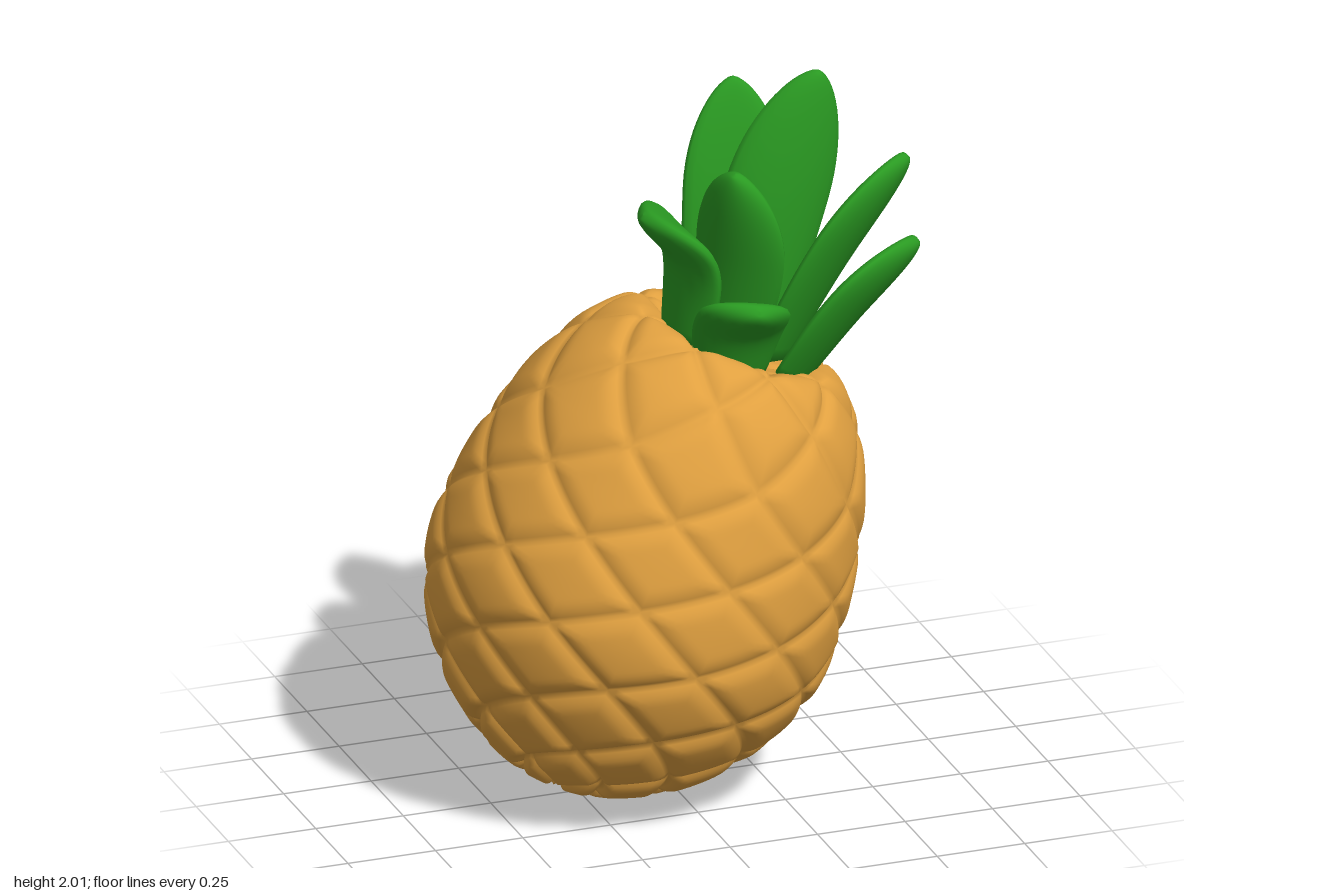
import * as THREE from 'three';

const fruitMat = new THREE.MeshStandardMaterial({ color: 0xe0a040 });
const leafMat = new THREE.MeshStandardMaterial({ color: 0x2a9a22 });

// Closed-ring grid: `cols` around, `rows` + 1 rings; diagonals chosen by flip(i, j)
function ringGeometry(cols, rows, pointAt, flip = () => false) {
  const pos = [], idx = [];
  for (let j = 0; j <= rows; j++)
    for (let i = 0; i < cols; i++) pos.push(...pointAt(i, j));
  for (let j = 0; j < rows; j++)
    for (let i = 0; i < cols; i++) {
      const n = (i + 1) % cols;
      const a = j * cols + i, b = j * cols + n, c = a + cols, d = b + cols;
      if (flip(i, j)) idx.push(a, b, d, a, d, c);
      else idx.push(a, b, c, b, d, c);
    }
  const g = new THREE.BufferGeometry();
  g.setAttribute('position', new THREE.Float32BufferAttribute(pos, 3));
  g.setIndex(idx);
  g.computeVertexNormals();
  return g;
}

// Fruit: profile of radius and height, one point per half row of diamonds
function makeFruit() {
  const profile = new THREE.CatmullRomCurve3([
    [0, 0.56], [0.14, 0.59], [0.28, 0.63], [0.395, 0.53], [0.485, 0.36],
    [0.527, 0.22], [0.555, 0.09], [0.57, -0.04], [0.567, -0.17], [0.535, -0.29],
    [0.475, -0.41], [0.385, -0.525], [0.275, -0.615], [0.14, -0.68], [0, -0.695],
  ].map(([r, y]) => new THREE.Vector3(r, y, 0)));
  const starts = 8, sub = 18, tiers = 7; // spiral seams each way, grid steps per diamond
  const seam = (v) => Math.abs(v - Math.round(v));
  const pointAt = (i, j) => {
    const u = i / sub, t = j / sub;
    const p = profile.getPoint(j / (tiers * sub));
    // V-shaped groove along both families of spirals, deeper towards the bottom
    const d = Math.min(seam(u + t), seam(u - t));
    const depth = 0.028 + 0.025 * THREE.MathUtils.smoothstep(t, 4, 6.5);
    const k = 1 - depth * Math.pow(Math.max(0, 1 - d / 0.26), 2);
    const ang = (u / starts) * Math.PI * 2;
    return [p.x * k * Math.cos(ang), p.y * k, p.x * k * Math.sin(ang)];
  };
  // diagonals follow whichever seam is nearer
  const flip = (i, j) => seam((i - j) / sub) < seam((i + j + 1) / sub);
  const mesh = new THREE.Mesh(ringGeometry(starts * sub, tiers * sub, pointAt, flip), fruitMat);
  mesh.name = 'fruit';
  mesh.rotation.z = THREE.MathUtils.degToRad(-23);
  mesh.position.set(-0.05, 0.67, 0);
  return mesh;
}

// Leaf: thick cupped blade along a curve, with a given width direction
function makeLeaf({ name, base, mid, tip, side, width, thick = 0.042 }) {
  const [b, m, t, w] = [base, mid, tip, side].map((p) => new THREE.Vector3(...p));
  const path = new THREE.CatmullRomCurve3([b, m, t]);
  // turn the cupped face towards the crown's axis
  const out = m.clone().sub(new THREE.Vector3(0.2 + 0.42 * (m.y - 1.24), m.y, 0));
  if (t.clone().sub(b).cross(w).dot(out) > 0) w.negate();
  const cols = 20, rows = 28;
  const g = ringGeometry(cols, rows, (i, j) => {
    const s = 1 - Math.pow(1 - j / rows, 1.5); // rings gather near the tip
    const p = path.getPoint(s), T = path.getTangent(s);
    const W = w.clone().addScaledVector(T, -w.dot(T)).normalize();
    const N = T.clone().cross(W);
    const round = s < 0.55 ? 1 : Math.pow(Math.max(0, 1 - Math.pow((s - 0.55) / 0.45, 2)), 0.65);
    const f = j === 0 ? 0 : (0.7 + 0.3 * Math.sin(Math.min(s / 0.55, 1) * Math.PI / 2)) * round;
    const a = (i / cols) * Math.PI * 2, c = Math.cos(a), sn = Math.sin(a);
    const depth = sn * thick * Math.sqrt(f) + c * c * width * f * 0.18;
    return p.addScaledVector(W, c * width * f).addScaledVector(N, depth).toArray();
  });
  const mesh = new THREE.Mesh(g, leafMat);
  mesh.name = name;
  return mesh;
}

const leaves = [
  { name: 'tallLeaf', base: [0.2, 1.2, 0.03], mid: [0.3, 1.62, 0.04], tip: [0.43, 2.0, 0.02], side: [0.95, -0.3, 0], width: 0.155 },
  { name: 'tallBackLeaf', base: [0.16, 1.22, -0.03], mid: [0.21, 1.62, -0.07], tip: [0.24, 1.95, -0.13], side: [1, 0, 0.1], width: 0.14 },
  { name: 'uprightFrontLeaf', base: [0.13, 1.23, 0.06], mid: [0.15, 1.53, 0.13], tip: [0.13, 1.81, 0.19], side: [0.58, 0, 0.81], width: 0.14 },
  { name: 'upperLeftLeaf', base: [0.28, 1.18, 0.05], mid: [0.45, 1.52, 0.12], tip: [0.63, 1.78, 0.16], side: [-0.5, 0.32, 0.8], width: 0.175 },
  { name: 'lowerLeftLeaf', base: [0.34, 1.13, 0.06], mid: [0.49, 1.35, 0.12], tip: [0.66, 1.53, 0.16], side: [-0.48, 0.32, 0.82], width: 0.185 },
  { name: 'backLeaf', base: [0.24, 1.17, -0.11], mid: [0.3, 1.44, -0.18], tip: [0.42, 1.57, -0.3], side: [0.95, 0, -0.2], width: 0.165 },
  { name: 'rightLeaf', base: [0.03, 1.27, 0.02], mid: [0.035, 1.53, 0.03], tip: [-0.08, 1.66, 0.04], side: [0.05, 0, 1], width: 0.17 },
  { name: 'shortFrontLeaf', base: [0.13, 1.2, 0.16], mid: [0.13, 1.38, 0.24], tip: [0.14, 1.47, 0.35], side: [1, -0.15, 0.1], width: 0.13 },
];

export function createModel() {
  const model = new THREE.Group();
  model.name = 'pineapple';
  const crown = new THREE.Group();
  crown.name = 'crown';
  leaves.forEach((leaf) => crown.add(makeLeaf(leaf)));
  model.add(makeFruit(), crown);
  return model;
}
